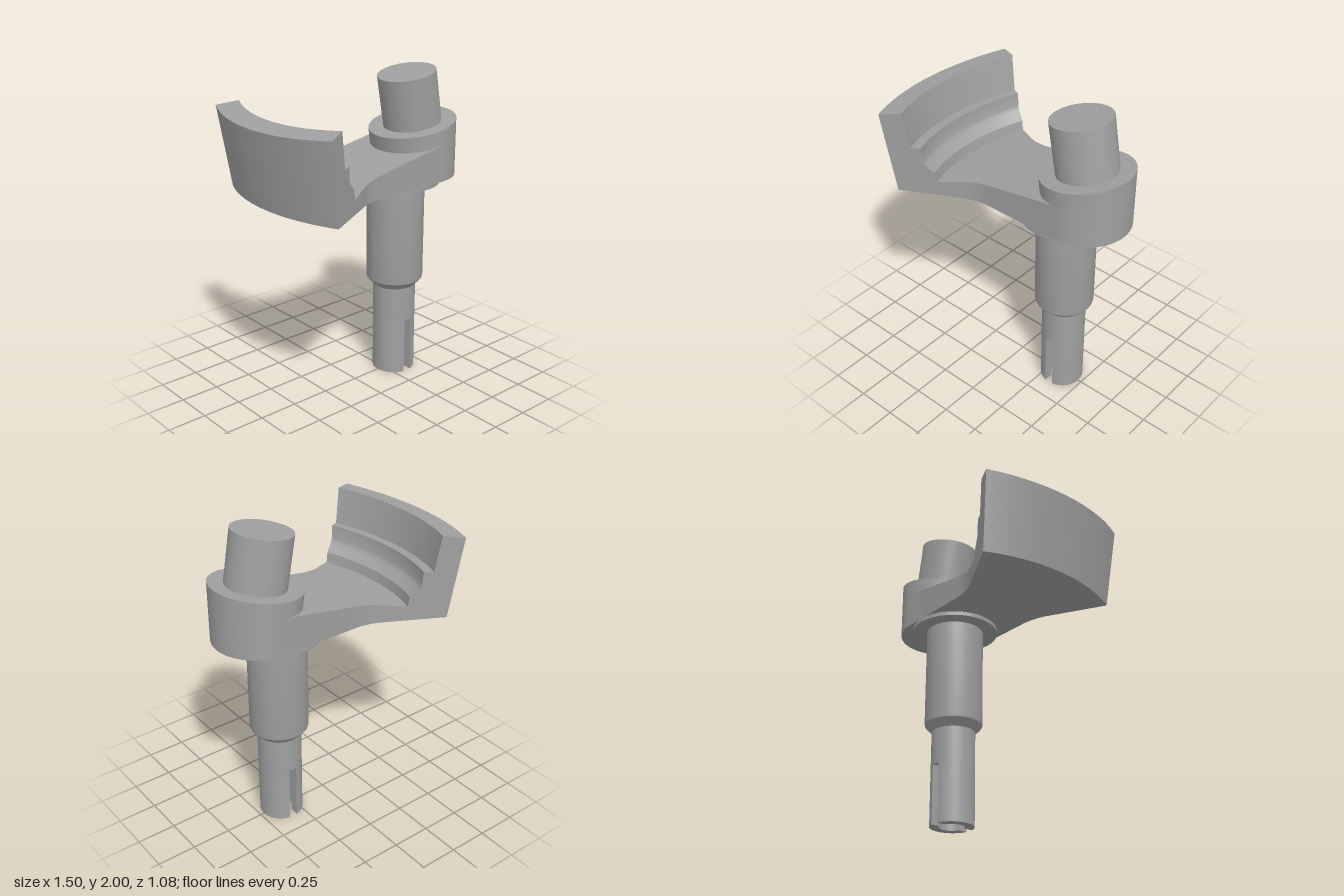
import * as THREE from 'three';
import { toCreasedNormals } from 'three/addons/utils/BufferGeometryUtils.js';

const TILT = THREE.MathUtils.degToRad(10);
const COS = Math.cos(TILT), SIN = Math.sin(TILT), TAN = Math.tan(TILT);
const PX = 0.472, PY = 1.65;        // where the tilted pin axis leaves the boss
const SHAFT_X = 0.338;
const BASE = 1.32;                  // underside of the crank arm
const FAN_X = 0.388, FAN_TAN = 0.536; // vertical planes bounding the counterweight

export function createModel() {
  const group = new THREE.Group();
  const steel = new THREE.MeshStandardMaterial({ color: 0xa0a0a0 });
  steel.name = 'grey steel';

  function add(name, geometry, x = 0, y = 0, z = 0) {
    const mesh = new THREE.Mesh(toCreasedNormals(geometry, 0.45), steel);
    mesh.name = name;
    mesh.position.set(x, y, z);
    group.add(mesh);
    return mesh;
  }

  // Extrude a plan outline upwards
  function extrudeUp(shape, height) {
    const g = new THREE.ExtrudeGeometry(shape, { depth: height, bevelEnabled: false, curveSegments: 24 });
    return g.rotateX(-Math.PI / 2);
  }

  // Stepped shaft with a blind bore at its lower end
  const shaftProfile = [
    [0, 0.45], [0.08, 0.45], [0.08, 0.375], [0.137, 0.375], [0.137, 0.6], [0.145, 0.612],
    [0.172, 0.637], [0.18, 0.648], [0.1825, 0.662], [0.1825, 1.3],
  ].map(([r, y]) => new THREE.Vector2(r, y));
  add('shaft', new THREE.LatheGeometry(shaftProfile, 64), SHAFT_X);

  // Two prongs either side of the slot
  const gap = 0.027;
  const outer = Math.acos(gap / 0.137), inner = Math.acos(gap / 0.08);
  for (const side of [0, 1]) {
    const s = new THREE.Shape();
    s.absarc(0, 0, 0.137, -outer, outer, false);
    s.absarc(0, 0, 0.08, inner, -inner, true);
    s.closePath();
    const prong = add(side ? 'rightProng' : 'leftProng', extrudeUp(s, 0.375), SHAFT_X);
    prong.rotation.y = side * Math.PI;
  }

  // Thrust collar under the arm
  add('collar', new THREE.CylinderGeometry(0.275, 0.275, 0.03, 64), SHAFT_X, 1.31);

  // Boss: upright round body with a sloping top
  const boss = new THREE.CylinderGeometry(0.274, 0.274, 1, 72);
  const bp = boss.attributes.position;
  for (let i = 0; i < bp.count; i++) {
    const x = bp.getX(i);
    if (bp.getY(i) > 0) bp.setY(i, PY + TAN * x);
    else bp.setXYZ(i, x < 0 ? x * 0.82 : x, BASE, bp.getZ(i));
  }
  add('boss', boss, PX);

  // Tilted crank pin
  const pin = add('crankPin', new THREE.CylinderGeometry(0.183, 0.183, 0.385, 64),
    PX - SIN * 0.1325, PY + COS * 0.1325);
  pin.rotation.z = TILT;

  // Arm: flared plan outline with a sloping top
  const plan = new THREE.Shape();
  plan.moveTo(PX, -0.274);
  plan.lineTo(PX, 0.274);
  plan.lineTo(-0.02, 0.274);
  plan.quadraticCurveTo(-0.125, 0.274, -0.21, 0.3205);
  plan.lineTo(-0.36, 0.401);
  plan.quadraticCurveTo(-0.54, 0, -0.36, -0.401);
  plan.lineTo(-0.21, -0.3205);
  plan.quadraticCurveTo(-0.125, -0.274, -0.02, -0.274);
  plan.closePath();
  const arm = extrudeUp(plan, 1);
  const ap = arm.attributes.position;
  for (let i = 0; i < ap.count; i++) {
    const top = PY - 0.095 / COS + TAN * (ap.getX(i) - PX);
    ap.setY(i, ap.getY(i) > 0.5 ? top : BASE);
  }
  add('crankArm', arm);

  // Counterweight: stepped profile (radius, height) swept about the tilted axis;
  // a null height means the point sits on the flat underside
  const profile = [
    [1.177, null], [1.177, 0.365], [1.037, 0.365], [1.035, 0.138], [0.972, 0.134],
    [0.981, 0.05], [0.975, 0.028], [0.96, 0.008], [0.935, -0.018], [0.923, -0.032],
    [0.922, -0.096], [0.922, null],
  ];
  function weightPoint([r, h0], tan) {
    let phi = Math.atan(tan), x = 0, y = 0;
    for (let k = 0; k < 20; k++) {
      const lx = -r * Math.cos(phi);
      const h = h0 === null ? (BASE - PY - lx * SIN) / COS : h0;
      x = PX + lx * COS - h * SIN;
      y = PY + lx * SIN + h * COS;
      phi = Math.asin(tan * (FAN_X - x) / r);
    }
    return [x, y, r * Math.sin(phi)];
  }
  const steps = 40, n = profile.length;
  const positions = [], index = [];
  for (let j = 0; j <= steps; j++) {
    const tan = Math.tan(Math.atan(FAN_TAN) * (2 * j / steps - 1));
    for (const p of profile) positions.push(...weightPoint(p, tan));
  }
  for (let j = 0; j < steps; j++) {
    for (let i = 0; i < n; i++) {
      const a = j * n + i, b = j * n + (i + 1) % n;
      index.push(a, a + n, b, b, a + n, b + n);
    }
  }
  const contour = profile.map(([r, h]) => new THREE.Vector2(r, h === null ? -0.16 : h));
  for (const [a, b, c] of THREE.ShapeUtils.triangulateShape(contour, [])) {
    const e = steps * n;
    index.push(a, b, c, e + a, e + c, e + b);
  }
  const weight = new THREE.BufferGeometry();
  weight.setAttribute('position', new THREE.Float32BufferAttribute(positions, 3));
  weight.setIndex(index);
  add('counterweight', weight);

  return group;
}
